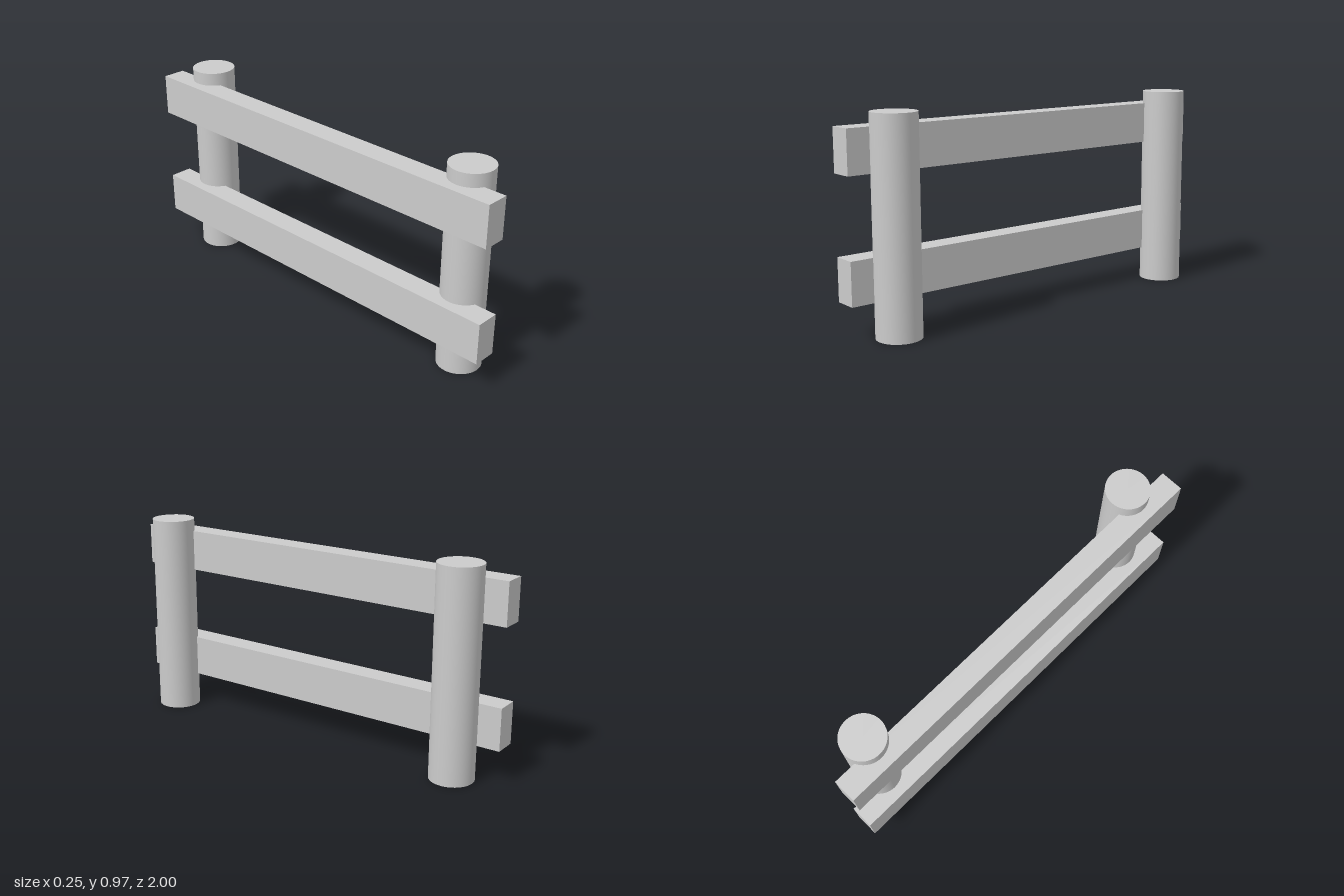
import * as THREE from 'three';

const POST = { x: 0.023, z: 0.8, radius: 0.102, height: 0.967 };
const RAIL = { x: -0.073, width: 0.11, height: 0.196, length: 2 };

export function createModel() {
  const model = new THREE.Group();
  model.name = 'fence';
  const material = new THREE.MeshStandardMaterial({ color: 0xcccccc });
  const shellMaterial = new THREE.MeshStandardMaterial({ color: 0xcccccc, side: THREE.DoubleSide });

  const add = (parent, name, geometry, mat, x, y, z) => {
    const mesh = new THREE.Mesh(geometry, mat);
    mesh.name = name;
    mesh.position.set(x, y, z);
    parent.add(mesh);
  };

  // Round posts: smooth shell, capped on top and open underneath
  const shell = new THREE.CylinderGeometry(POST.radius, POST.radius, POST.height, 48, 1, true);
  const cap = new THREE.CircleGeometry(POST.radius, 48).rotateX(-Math.PI / 2);
  for (const [name, side] of [['frontPost', 1], ['backPost', -1]]) {
    const post = new THREE.Group();
    post.name = name;
    post.position.set(POST.x, 0, side * POST.z);
    add(post, name + 'Shell', shell, shellMaterial, 0, POST.height / 2, 0);
    add(post, name + 'Cap', cap, material, 0, POST.height, 0);
    model.add(post);
  }

  // Square-edged rails set into one side of the posts
  const rail = new THREE.BoxGeometry(RAIL.width, RAIL.height, RAIL.length);
  add(model, 'lowerRail', rail, material, RAIL.x, 0.257, 0);
  add(model, 'upperRail', rail, material, RAIL.x, 0.808, 0);

  return model;
}
